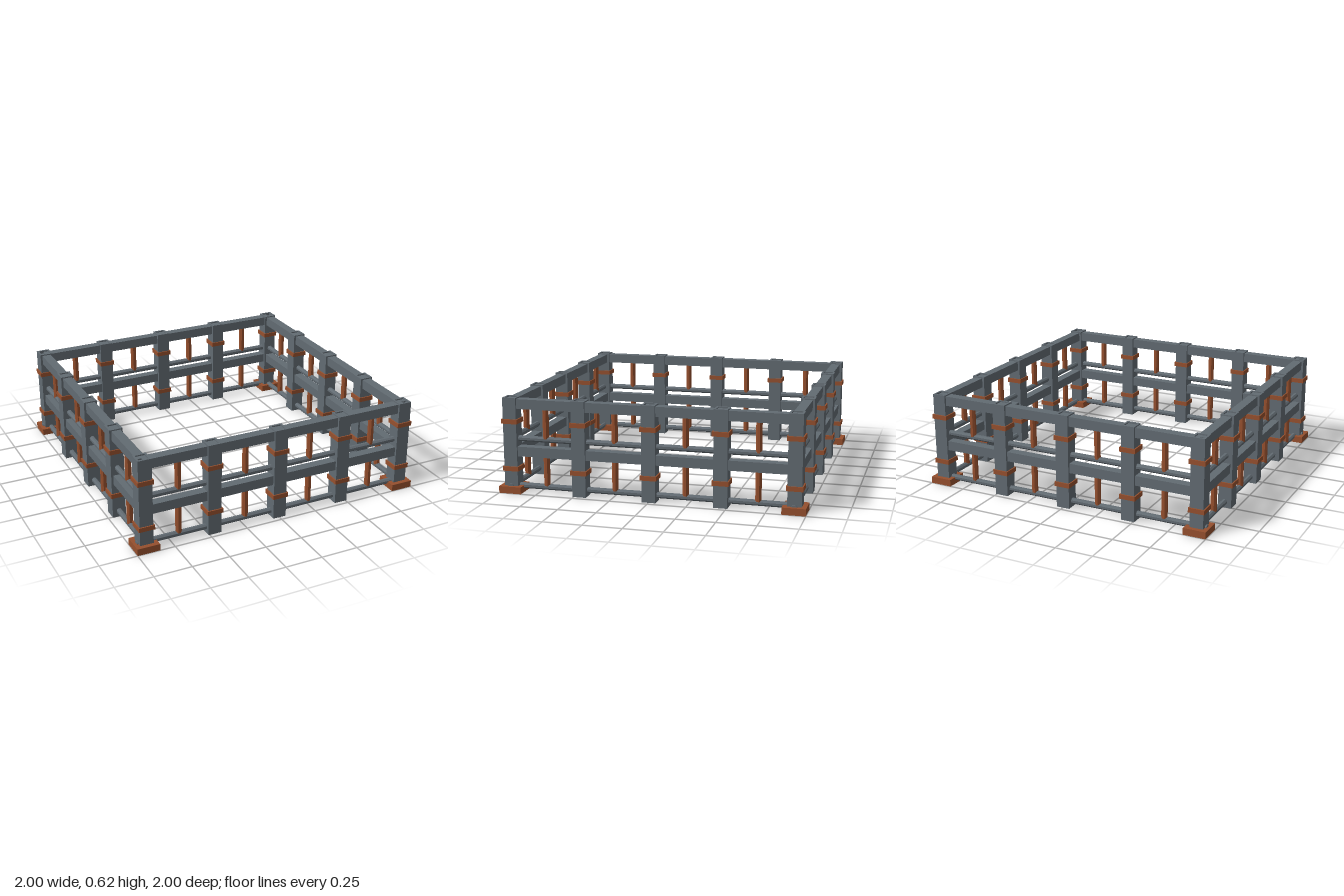
import * as THREE from 'three';

export function createModel() {
  const steel = new THREE.MeshStandardMaterial({ color: 0x626b72 });
  steel.name = 'steel grey';
  const rust = new THREE.MeshStandardMaterial({ color: 0x96502e });
  rust.name = 'rust brown';

  const model = new THREE.Group();
  model.name = 'fenceEnclosure';
  const EDGE = 0.925; // distance of each fence line from the centre
  const STEP = EDGE / 2; // post spacing

  function add(parent, name, geometry, material, x, y, z) {
    const mesh = new THREE.Mesh(geometry, material);
    mesh.name = name;
    mesh.position.set(x, y, z);
    parent.add(mesh);
    return mesh;
  }

  // Square tube standing on y = 0
  function squareTube(outer, inner, height) {
    const square = (Type, s) => new Type([
      new THREE.Vector2(-s, -s), new THREE.Vector2(s, -s),
      new THREE.Vector2(s, s), new THREE.Vector2(-s, s),
    ]);
    const shape = square(THREE.Shape, outer / 2);
    shape.holes.push(square(THREE.Path, inner / 2));
    return new THREE.ExtrudeGeometry(shape, { depth: height, bevelEnabled: false }).rotateX(-Math.PI / 2);
  }

  // Eight-sided bar, flat faces outward, made faceted
  function octagonBar(width, length) {
    const r = width / 2 / Math.cos(Math.PI / 8);
    const bar = new THREE.CylinderGeometry(r, r, length, 8).rotateY(Math.PI / 8).toNonIndexed();
    bar.computeVertexNormals();
    return bar;
  }

  const postGeo = squareTube(0.09, 0.063, 0.625);
  const bandGeo = squareTube(0.107, 0.088, 0.03);
  const footGeo = new THREE.BoxGeometry(0.15, 0.045, 0.15);
  const railGeo = new THREE.BoxGeometry(EDGE * 2, 0.064, 0.062);
  const thinGeo = octagonBar(0.035, EDGE * 2).rotateZ(Math.PI / 2);
  const longThinGeo = octagonBar(0.035, 1.96).rotateZ(Math.PI / 2);
  const upperBarGeo = octagonBar(0.037, 0.2);
  const lowerBarGeo = octagonBar(0.037, 0.195);

  // Hollow posts with two bands each; the corners also get feet
  for (let i = -2; i <= 2; i++) {
    for (let j = -2; j <= 2; j++) {
      if (Math.max(Math.abs(i), Math.abs(j)) < 2) continue;
      const corner = Math.abs(i) === 2 && Math.abs(j) === 2;
      const post = new THREE.Group();
      post.name = corner ? 'cornerPost' : 'middlePost';
      post.position.set(i * STEP, 0, j * STEP);
      add(post, 'postTube', postGeo, steel, 0, 0, 0);
      add(post, 'lowerBand', bandGeo, rust, 0, 0.144, 0);
      add(post, 'upperBand', bandGeo, rust, 0, 0.456, 0);
      if (corner) add(post, 'foot', footGeo, rust, 0, 0.0225, 0);
      model.add(post);
    }
  }

  // Rails and upright bars of the four sides
  ['front', 'right', 'back', 'left'].forEach((name, k) => {
    const side = new THREE.Group();
    side.name = name + 'Panel';
    side.rotation.y = k * Math.PI / 2;
    add(side, 'topRail', railGeo, steel, 0, 0.585, EDGE);
    add(side, 'middleRail', railGeo, steel, 0, 0.273, EDGE);
    add(side, 'thinMiddleRail', thinGeo, steel, 0, 0.355, EDGE);
    add(side, 'thinBottomRail', k % 2 ? thinGeo : longThinGeo, steel, 0, 0.0415, EDGE);
    for (let b = -1.5; b <= 1.5; b++) {
      add(side, 'upperBar', upperBarGeo, rust, b * STEP, 0.46, EDGE);
      add(side, 'lowerBar', lowerBarGeo, rust, b * STEP, 0.1475, EDGE);
    }
    model.add(side);
  });

  return model;
}
